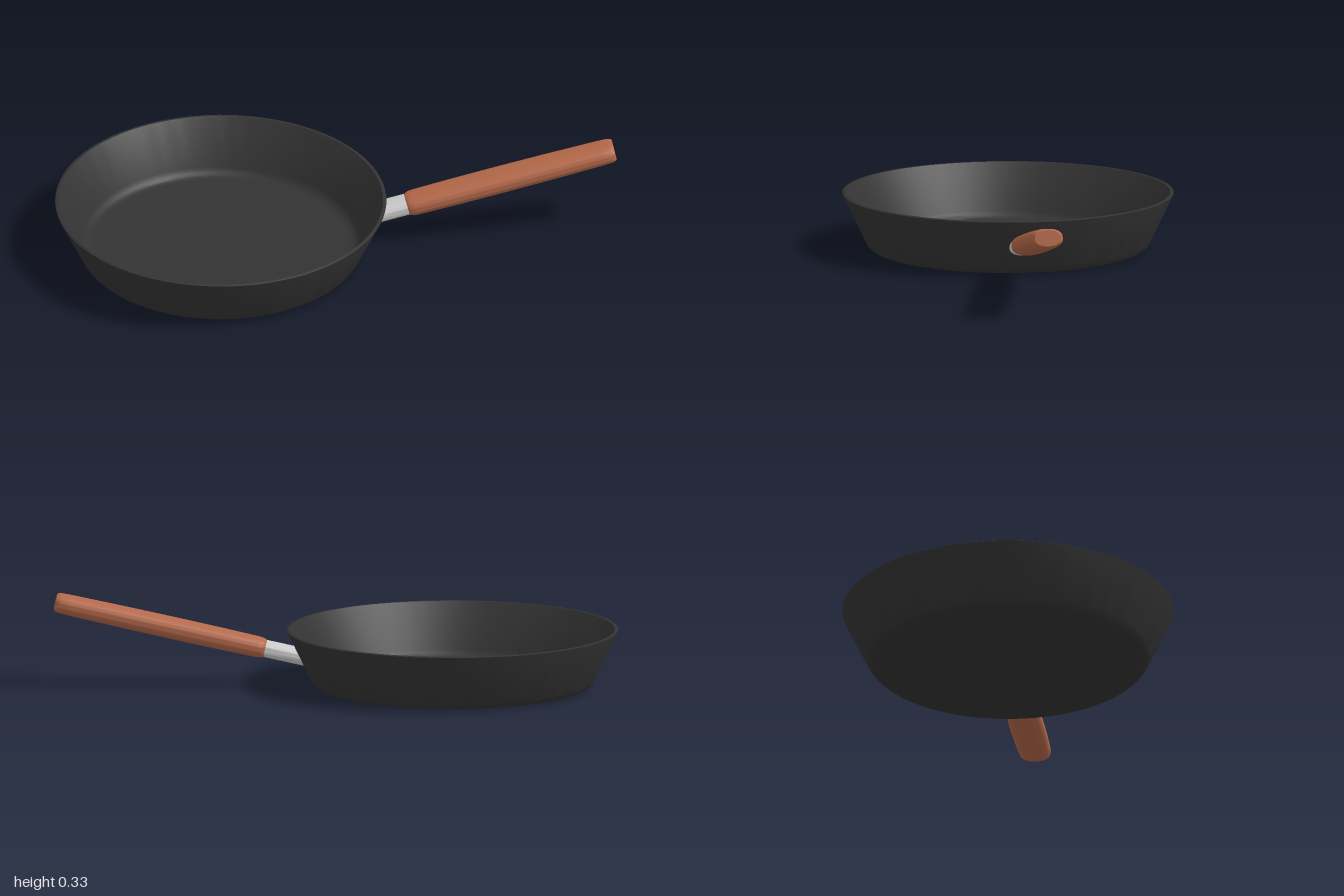
import * as THREE from 'three';
import { toCreasedNormals } from 'three/addons/utils/BufferGeometryUtils.js';

const PAN_X = -0.415;
const HANDLE_TILT = 0.22;

function lathe(profile, segments, crease) {
  const points = profile.map(([r, y]) => new THREE.Vector2(r, y));
  return toCreasedNormals(new THREE.LatheGeometry(points, segments), crease);
}

// Quarter bend between two straight runs, as points of a quadratic curve
function bend(a, corner, b, steps = 6) {
  const v = p => new THREE.Vector2(...p);
  return new THREE.QuadraticBezierCurve(v(a), v(corner), v(b)).getPoints(steps).map(p => [p.x, p.y]);
}

// Flattened bar along +x; profile rows are [half width, distance, slant]
function bar(profile, flatness) {
  const points = profile.map(([r, s]) => new THREE.Vector2(r, s));
  const geometry = new THREE.LatheGeometry(points, 40);
  geometry.rotateZ(-Math.PI / 2);
  const pos = geometry.attributes.position;
  const rows = profile.length;
  for (let i = 0; i < pos.count; i++) {
    const slant = profile[i % rows][2] ?? 0;
    let y = pos.getY(i), z = pos.getZ(i);
    const r = Math.hypot(y, z);
    if (r > 1e-6) {
      // slightly squared oval section
      const n = 2.4;
      const k = Math.pow(Math.pow(Math.abs(y / r), n) + Math.pow(Math.abs(z / r), n), -1 / n);
      y *= k * flatness;
      z *= k;
    }
    pos.setXYZ(i, pos.getX(i) + slant * y, y, z);
  }
  return toCreasedNormals(geometry, 0.7);
}

function part(name, geometry, color) {
  const mesh = new THREE.Mesh(geometry, new THREE.MeshStandardMaterial({ color }));
  mesh.name = name;
  return mesh;
}

export function createModel() {
  const model = new THREE.Group();
  model.name = 'fryingPan';

  // Pan body: underside, rounded heel, flared wall, rim, inner wall and floor
  const body = part('panBody', lathe([
    [0, 0],
    ...bend([0.455, 0], [0.488, 0], [0.503, 0.03]),
    [0.584, 0.2],
    [0.585, 0.204],
    [0.582, 0.206],
    [0.573, 0.206],
    [0.57, 0.203],
    ...bend([0.495, 0.045], [0.482, 0.016], [0.452, 0.016]),
    [0, 0.016],
  ], 96, 0.6), 0x333333);
  body.position.x = PAN_X;
  model.add(body);

  // Handle: metal neck cut to the slope of the wall, then the wooden grip
  const handle = new THREE.Group();
  handle.name = 'handle';
  handle.position.set(0.25, 0.136, 0);
  handle.rotation.z = HANDLE_TILT;

  handle.add(part('neck', bar([
    [0, -0.13, 0.82],
    [0.049, -0.13, 0.82],
    [0.049, 0.03],
    [0, 0.03],
  ], 0.6), 0xcccccc));

  handle.add(part('grip', bar([
    [0, -0.005],
    [0.046, -0.005],
    [0.051, 0.0],
    [0.056, 0.012],
    [0.058, 0.03],
    [0.06, 0.15],
    [0.061, 0.32],
    [0.06, 0.5],
    [0.057, 0.7],
    [0.055, 0.738],
    [0.051, 0.75],
    [0.046, 0.755],
    [0, 0.755],
  ], 0.62), 0xb5694a));
  model.add(handle);

  return model;
}
